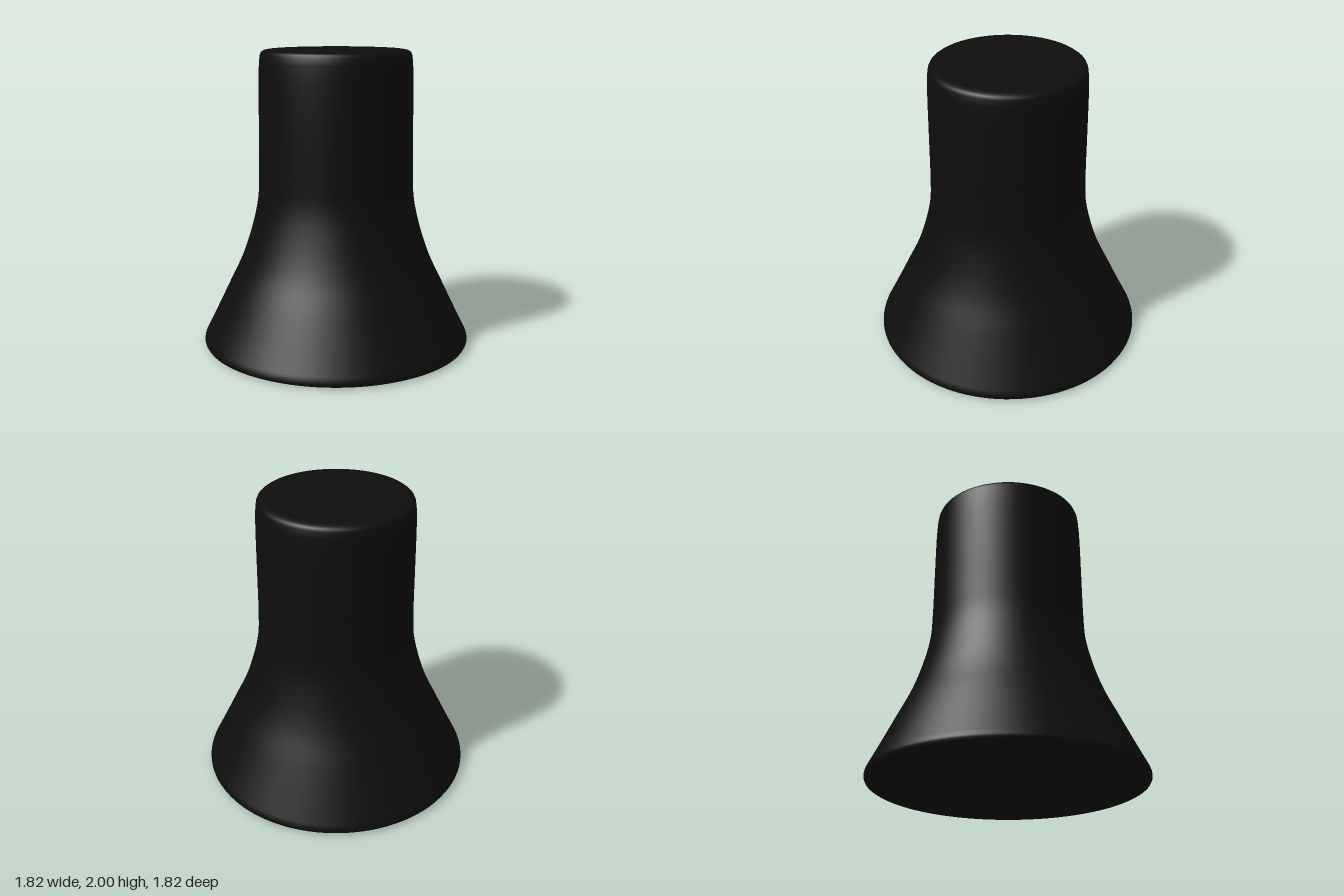
import * as THREE from 'three';

export function createModel() {
  const group = new THREE.Group();
  group.name = 'flaredKnob';
  const black = new THREE.MeshStandardMaterial({ color: 0x0d0d0d });
  black.name = 'black';

  const v = (x, y) => new THREE.Vector2(x, y);

  // Concave flare rising into the nearly straight neck
  const flare = new THREE.SplineCurve([
    v(0.905, 0.06), v(0.835, 0.2), v(0.738, 0.4), v(0.643, 0.6), v(0.575, 0.8),
    v(0.53, 1.0), v(0.519, 1.2), v(0.516, 1.5), v(0.513, 1.8), v(0.507, 1.93),
  ]).getPoints(54);

  // Closed profile: flat base, rounded foot, flare, rounded rim, flat top
  const profile = [
    v(0, 0), v(0.6, 0), v(0.86, 0.002), v(0.89, 0.006), v(0.905, 0.014), v(0.912, 0.028), v(0.911, 0.042),
    ...flare,
    v(0.502, 1.965), v(0.494, 1.983), v(0.48, 1.994), v(0.455, 1.999), v(0.42, 2), v(0, 2),
  ];

  const body = new THREE.Mesh(new THREE.LatheGeometry(profile, 96), black);
  body.name = 'body';
  group.add(body);
  return group;
}
